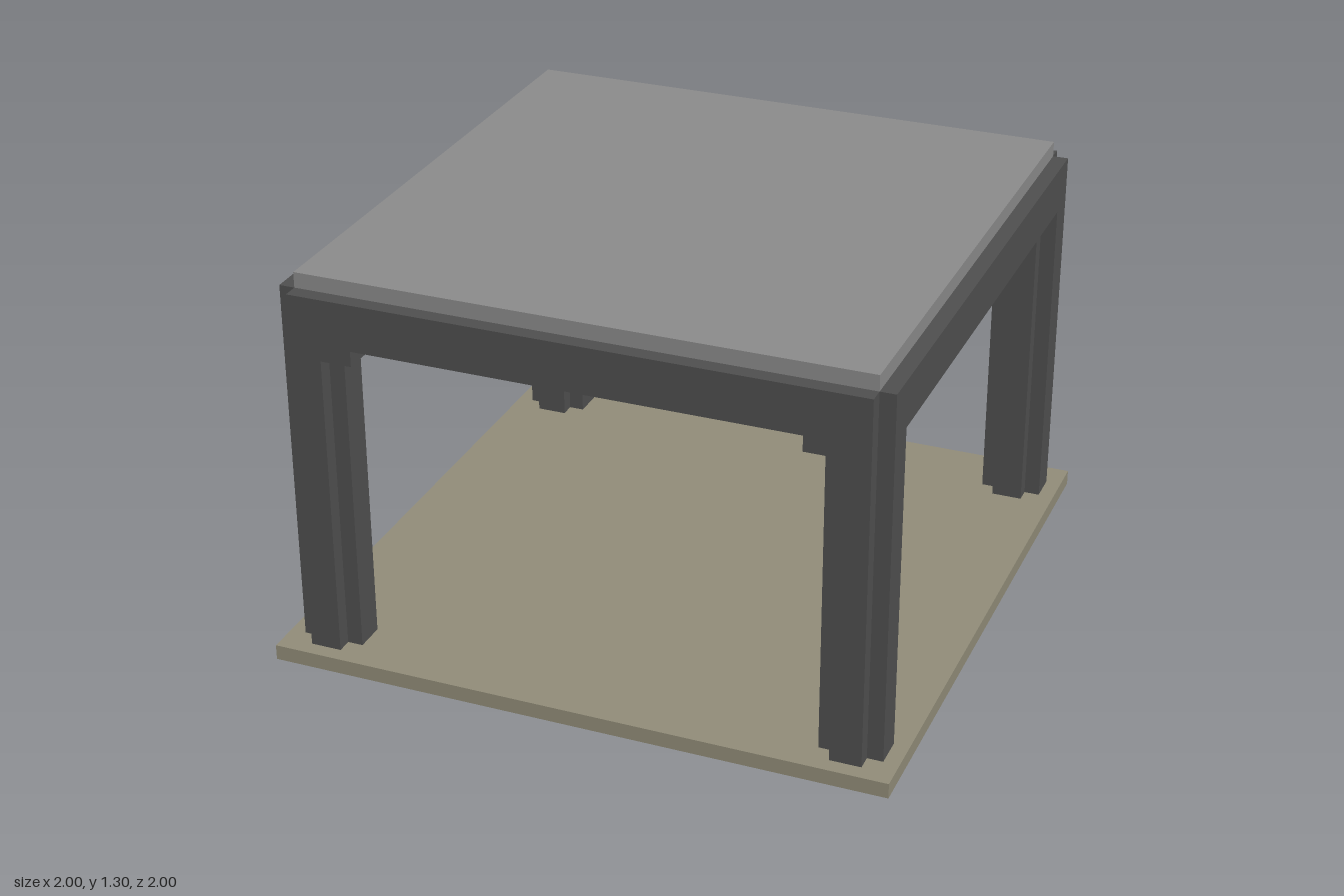
import * as THREE from 'three';

const floorStone = new THREE.MeshStandardMaterial({ name: 'floorStone', color: 0x938e7a });
const darkFrame = new THREE.MeshStandardMaterial({ name: 'darkFrame', color: 0x505050 });
const roofGrey = new THREE.MeshStandardMaterial({ name: 'roofGrey', color: 0x8c8c8c });

// Upright prism from y0 to y1: a square of half-width r with its corners notched by n
function notchedPrism(name, r, n, y0, y1, material) {
  const c = r - n;
  const shape = new THREE.Shape([
    [r, -c], [r, c], [c, c], [c, r], [-c, r], [-c, c],
    [-r, c], [-r, -c], [-c, -c], [-c, -r], [c, -r], [c, -c],
  ].map(([x, y]) => new THREE.Vector2(x, y)));
  const geometry = new THREE.ExtrudeGeometry(shape, { depth: y1 - y0, bevelEnabled: false });
  geometry.rotateX(-Math.PI / 2).translate(0, y0, 0);
  const mesh = new THREE.Mesh(geometry, material);
  mesh.name = name;
  return mesh;
}

function box(name, w, h, d, x, y, z, material) {
  const mesh = new THREE.Mesh(new THREE.BoxGeometry(w, h, d), material);
  mesh.name = name;
  mesh.position.set(x, y, z);
  return mesh;
}

export function createModel() {
  const model = new THREE.Group();
  model.name = 'pavilion';

  // Floor plate, ceiling slab with notched corners, and raised roof panel
  model.add(box('floor', 2, 0.05, 2, 0, 0.025, 0, floorStone));
  model.add(notchedPrism('ceilingSlab', 0.95, 0.05, 1.1, 1.25, darkFrame));
  model.add(box('roofPanel', 1.8, 0.05, 1.8, 0, 1.275, 0, roofGrey));

  // Cross-shaped columns, each with a bracket reaching inward along x
  for (const sx of [-1, 1]) {
    for (const sz of [-1, 1]) {
      const column = notchedPrism('column', 0.1, 0.05, 0.05, 1.1, darkFrame);
      column.position.set(sx * 0.85, 0, sz * 0.85);
      model.add(column);
      model.add(box('bracket', 0.2, 0.05, 0.15, sx * 0.8, 1.075, sz * 0.875, darkFrame));
    }
  }
  return model;
}
